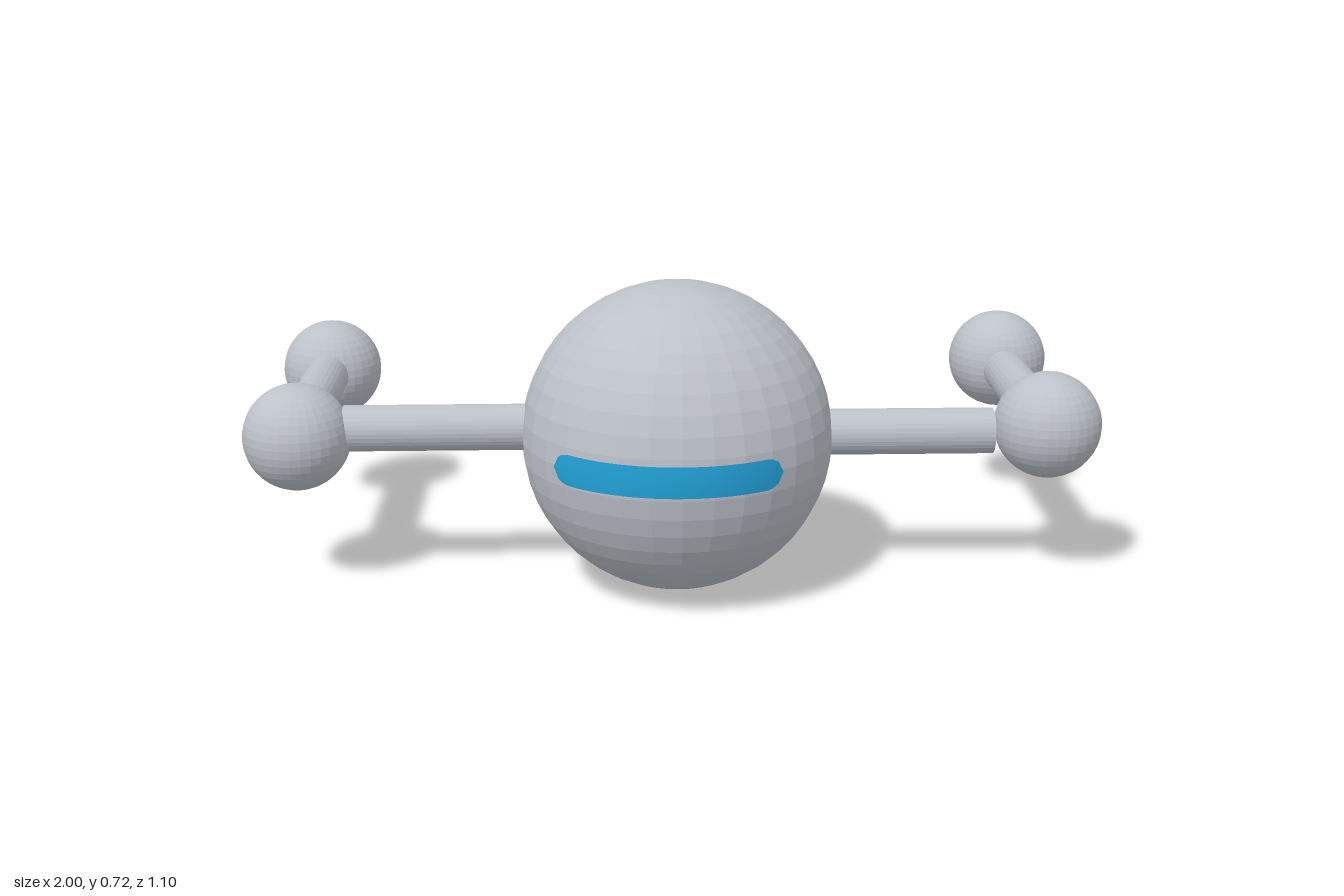
import * as THREE from 'three';

export function createModel() {
  const grey = new THREE.MeshStandardMaterial({ color: 0xbdc1c9, flatShading: true });
  grey.name = 'light grey';
  const blue = new THREE.MeshStandardMaterial({ color: 0x22a2d8 });
  blue.name = 'bright blue';

  const model = new THREE.Group();
  const R = 0.362, center = new THREE.Vector3(0.004, 0.365, 0.186);

  const add = (name, geometry, material, x, y, z) => {
    const mesh = new THREE.Mesh(geometry, material);
    mesh.name = name;
    mesh.position.set(x, y, z);
    model.add(mesh);
    return mesh;
  };

  // Straight round bar between two points
  const rod = (name, a, b) => {
    const from = new THREE.Vector3(...a), dir = new THREE.Vector3(...b).sub(from);
    const mid = from.clone().addScaledVector(dir, 0.5);
    const mesh = add(name, new THREE.CylinderGeometry(0.054, 0.054, dir.length(), 32), grey, mid.x, mid.y, mid.z);
    mesh.quaternion.setFromUnitVectors(new THREE.Vector3(0, 1, 0), dir.normalize());
  };

  // Round-ended band hugging the body, between two angles in degrees
  const band = (name, start, end, turn) => {
    const geometry = new THREE.PlaneGeometry(1, 1, 40, 4);
    const p = geometry.attributes.position, r = R + 0.003, half = 0.036;
    const a0 = THREE.MathUtils.degToRad(start), a1 = THREE.MathUtils.degToRad(end);
    for (let i = 0; i < p.count; i++) {
      const a = a0 + (p.getX(i) + 0.5) * (a1 - a0);
      const edge = Math.min(1, Math.min(a - a0, a1 - a) / 0.13);
      const h = half * Math.sqrt(Math.max(0, 1 - (1 - edge) ** 2));
      const y = -0.003 + 2 * p.getY(i) * h, q = Math.sqrt(r * r - y * y);
      p.setXYZ(i, q * Math.sin(a), y, q * Math.cos(a));
    }
    geometry.computeVertexNormals();
    add(name, geometry, blue, center.x, center.y, center.z).rotation.y = turn;
  };

  // Body
  add('body', new THREE.SphereGeometry(R, 32, 24), grey, center.x, center.y, center.z);
  band('frontBand', -50.5, 38, 0);
  band('backBand', -34, 34, Math.PI);

  // Arms: an outward bar, an elbow ball, a backward bar and an end ball
  const arms = [
    { side: 'left', x: 0.872, y: 0.384, barY: 0.366, inner: 0.25, outer: 0.745 },
    { side: 'right', x: -0.877, y: 0.371, barY: 0.385, inner: -0.25, outer: -0.77 },
  ];
  for (const { side, x, y, barY, inner, outer } of arms) {
    rod(side + 'UpperArm', [inner, barY, 0.184], [outer, barY, 0.184]);
    rod(side + 'Forearm', [x, 0.378, 0.12], [x, 0.378, -0.312]);
    add(side + 'Elbow', new THREE.SphereGeometry(0.125, 32, 20), grey, x, y, 0.199);
    add(side + 'Hand', new THREE.SphereGeometry(0.125, 32, 20), grey, x, y, -0.424);
  }
  return model;
}
